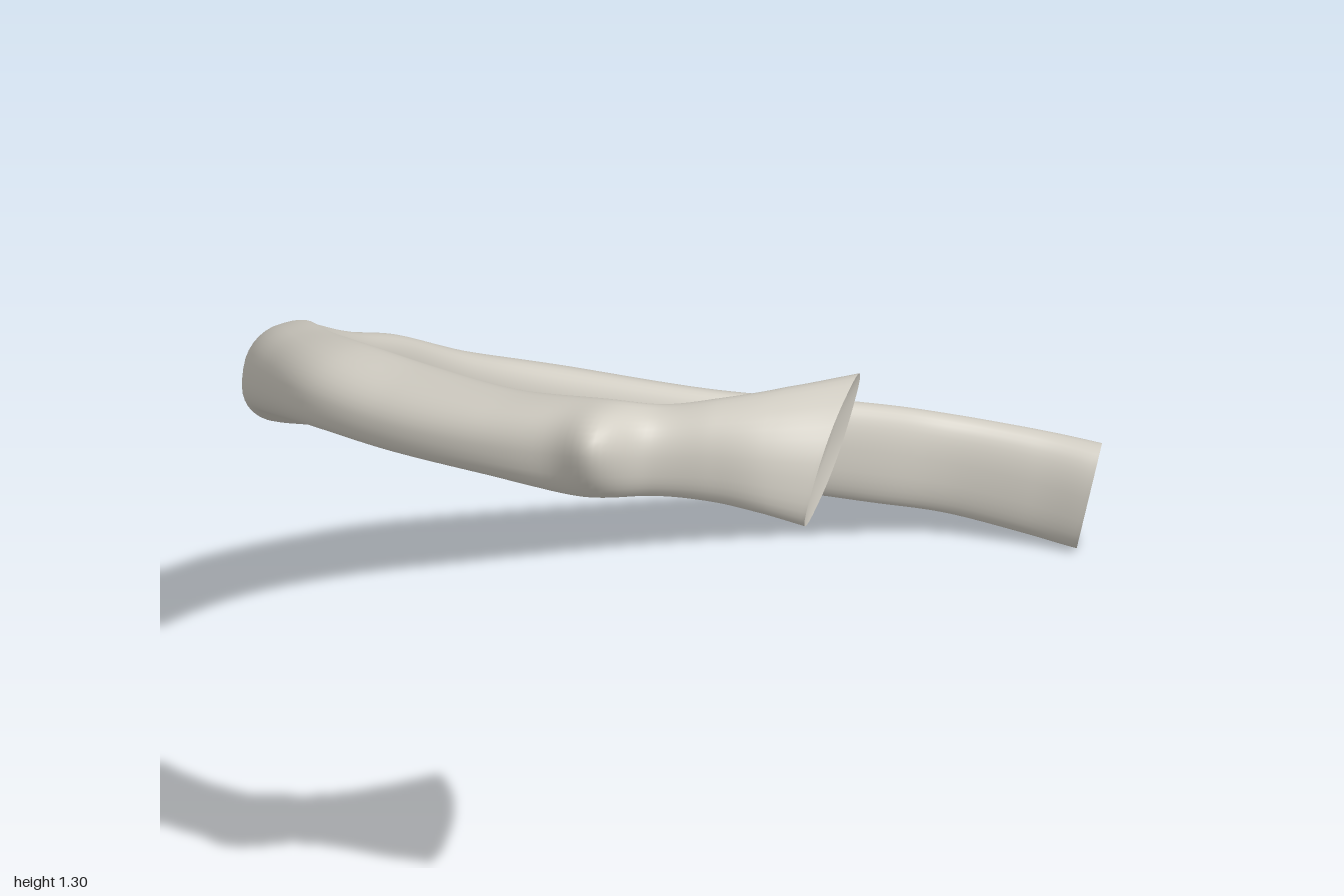
import * as THREE from 'three';

// Stations along the bone, front end first:
// [outer x, outer z, inner x, inner z, top y, bottom y]
const STATIONS = [
  [0.162, -1.0, 0.205, -0.895, 0.226, 0.0],
  [0.04, -0.94, 0.1, -0.865, 0.243, 0.022],
  [-0.1, -0.85, -0.04, -0.79, 0.275, 0.06],
  [-0.21, -0.725, -0.14, -0.675, 0.325, 0.108],
  [-0.39, -0.48, -0.31, -0.43, 0.418, 0.218],
  [-0.57, -0.185, -0.455, -0.13, 0.57, 0.358],
  [-0.638, 0, -0.51, 0.04, 0.665, 0.458],
  [-0.662, 0.2, -0.527, 0.2, 0.775, 0.563],
  [-0.635, 0.4, -0.5, 0.36, 0.87, 0.675],
  [-0.55, 0.6, -0.43, 0.53, 0.99, 0.805],
  [-0.42, 0.77, -0.32, 0.68, 1.105, 0.945],
  [-0.29, 0.872, -0.21, 0.765, 1.165, 1.022],
  [-0.14, 0.957, -0.1, 0.817, 1.21, 1.085],
  [0.03, 0.987, 0.03, 0.833, 1.226, 1.11],
  [0.2, 0.99, 0.2, 0.853, 1.25, 1.13],
  [0.36, 0.968, 0.35, 0.845, 1.278, 1.135],
  [0.455, 0.905, 0.42, 0.81, 1.27, 1.14],
  [0.53, 0.87, 0.49, 0.775, 1.283, 1.14],
  [0.6, 0.845, 0.56, 0.71, 1.292, 1.13],
  [0.668, 0.81, 0.615, 0.625, 1.296, 1.11],
];
const RINGS = 220;
const SIDES = 36;
const UP = new THREE.Vector3(0, 1, 0);

const curve = (fn) => new THREE.CatmullRomCurve3(
  STATIONS.map((s) => new THREE.Vector3(...fn(s))), false, 'catmullrom', 0.5);
const lowerOuter = curve((s) => [s[0], s[5], s[1]]);
const upperInner = curve((s) => [s[2], s[4], s[3]]);

// How far the top edge leans inward: most at the side bend and at the head
const lean = (u) => 0.26 + 0.27 * Math.cos((Math.PI * 2 * (u - 0.395)) / 0.68);

// Both ends are cut at a slant
const slant = (u) => 0.018 * (Math.max(0, 20 * u - 19) - Math.max(0, 1 - 10 * u));

// Slightly squares the oval
const soft = (v) => Math.sign(v) * Math.abs(v) ** 0.85;

// Raised knob on the outer side just before the neck
const KNOB = new THREE.Vector3(0.39, 1.23, 0.95);
const KNOB_PUSH = new THREE.Vector3(0.018, 0.024, 0.034);
function swell(p) {
  const d = p.clone().sub(KNOB);
  const g = Math.exp(-(d.x * d.x + d.z * d.z * 0.6 + d.y * d.y * 0.35) / 0.0018);
  return p.addScaledVector(KNOB_PUSH, g);
}

// One leaning oval cross-section
function ring(u) {
  const o = lowerOuter.getPoint(u), i = upperInner.getPoint(u);
  const mid = o.clone().add(i).multiplyScalar(0.5);
  const half = i.clone().sub(o).multiplyScalar(0.5);
  const along = half.clone().cross(UP).normalize();
  const phi = Math.asin(lean(u));
  return Array.from({ length: SIDES }, (_, j) => {
    const t = (j / SIDES) * Math.PI * 2;
    const w = soft(Math.cos(t - phi)), h = soft(Math.sin(t));
    const p = new THREE.Vector3(mid.x + half.x * w, mid.y + half.y * h, mid.z + half.z * w);
    return swell(p.addScaledVector(along, slant(u) * h));
  });
}

function geometryFrom(points, index) {
  const g = new THREE.BufferGeometry().setFromPoints(points);
  g.setIndex(index);
  g.computeVertexNormals();
  return g;
}

// End face, dished slightly into the bone
function capGeometry(points, inward, flip) {
  const centre = points.reduce((a, p) => a.add(p), new THREE.Vector3()).divideScalar(SIDES);
  const inner = points.map((p) => p.clone().lerp(centre, 0.4).add(inward));
  const index = [];
  const tri = (a, b, c) => (flip ? index.push(a, c, b) : index.push(a, b, c));
  for (let j = 0; j < SIDES; j++) {
    const n = (j + 1) % SIDES;
    tri(j, n, SIDES + j);
    tri(n, SIDES + n, SIDES + j);
    tri(SIDES + j, SIDES + n, SIDES * 2);
  }
  return geometryFrom([...points, ...inner, centre.add(inward)], index);
}

export function createModel() {
  const group = new THREE.Group();
  group.name = 'ribBone';
  const bone = new THREE.MeshStandardMaterial({ color: 0xd2cec4 });
  bone.name = 'bone';
  const add = (name, geometry) => {
    const mesh = new THREE.Mesh(geometry, bone);
    mesh.name = name;
    group.add(mesh);
  };

  // Curved shaft, knob, neck and flared head as one loft
  const rings = [];
  for (let i = 0; i <= RINGS; i++) rings.push(ring(i / RINGS));
  const index = [];
  for (let i = 0; i < RINGS; i++) {
    for (let j = 0; j < SIDES; j++) {
      const a = i * SIDES + j, b = i * SIDES + ((j + 1) % SIDES);
      index.push(a, b, a + SIDES, b, b + SIDES, a + SIDES);
    }
  }
  add('shaft', geometryFrom(rings.flat(), index));

  // End faces
  add('frontEnd', capGeometry(rings[0], new THREE.Vector3(-0.002, 0, 0.001), true));
  add('headFace', capGeometry(rings[RINGS], new THREE.Vector3(-0.012, 0, 0.003), false));
  return group;
}
